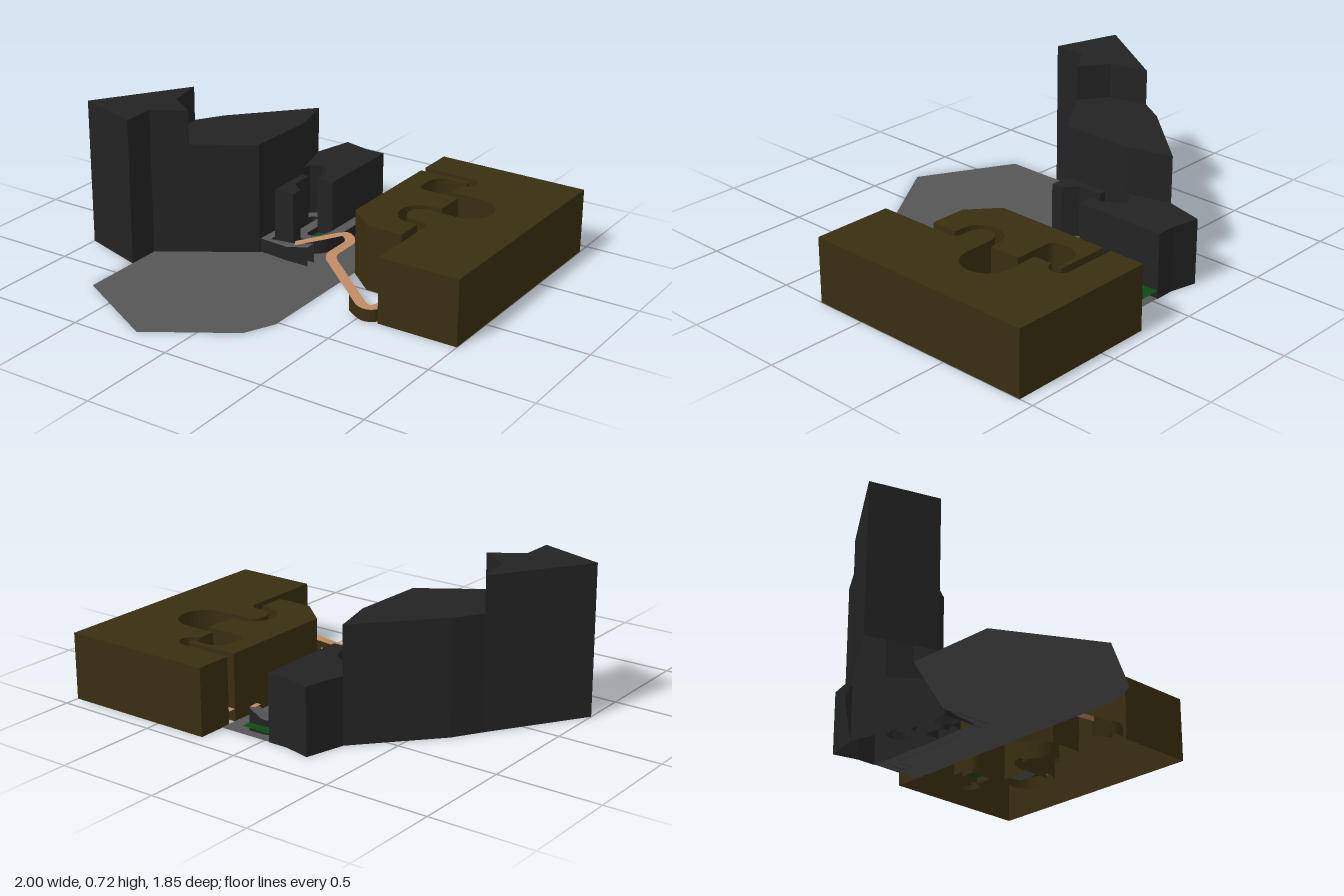
import * as THREE from 'three';

const mat = (name, color) => {
  const m = new THREE.MeshStandardMaterial({ color, side: THREE.DoubleSide });
  m.name = name;
  return m;
};

// Flat shape from [x, z] points
const shapeOf = (pts) => new THREE.Shape(pts.map(([x, z]) => new THREE.Vector2(x, -z)));

// Upright prism from an [x, z] outline, open underneath
function prism(pts, height) {
  const g = new THREE.ExtrudeGeometry(shapeOf(pts), { depth: height, bevelEnabled: false });
  g.rotateX(-Math.PI / 2);
  const p = g.attributes.position;
  const keep = [];
  for (let i = 0; i < p.count; i += 3) {
    const bottom = [0, 1, 2].every((k) => Math.abs(p.getY(i + k)) < 1e-5);
    if (!bottom) for (let k = 0; k < 3; k++) keep.push(p.getX(i + k), p.getY(i + k), p.getZ(i + k));
  }
  const out = new THREE.BufferGeometry();
  out.setAttribute('position', new THREE.Float32BufferAttribute(keep, 3));
  out.computeVertexNormals();
  return out;
}

// Horizontal plate at height y
function plate(pts, y) {
  return new THREE.ShapeGeometry(shapeOf(pts)).rotateX(-Math.PI / 2).translate(0, y, 0);
}

const rect = (x0, z0, x1, z1) => [[x0, z0], [x1, z0], [x1, z1], [x0, z1]];

// Centre line through [x, z, radius] corners, rounded off
function rounded(corners) {
  const v = corners.map((c) => new THREE.Vector2(c[0], c[1]));
  const out = [v[0]];
  for (let i = 1; i < v.length - 1; i++) {
    const r = corners[i][2];
    if (!r) { out.push(v[i]); continue; }
    const a = v[i - 1].clone().sub(v[i]).normalize();
    const b = v[i + 1].clone().sub(v[i]).normalize();
    const at = (d, s) => v[i].clone().addScaledVector(d, s);
    const curve = new THREE.CubicBezierCurve(at(a, r), at(a, r * 0.45), at(b, r * 0.45), at(b, r));
    for (const q of curve.getPoints(8)) {
      if (q.distanceTo(out[out.length - 1]) > 1e-4) out.push(q);
    }
  }
  out.push(v[v.length - 1]);
  return out;
}

// Both edges of a centre line
function edges(line, half) {
  const side = (s) => line.map((p, i) => {
    const d = line[Math.min(i + 1, line.length - 1)].clone().sub(line[Math.max(i - 1, 0)]).normalize();
    return [p.x - d.y * half * s, p.y + d.x * half * s];
  });
  return [side(1), side(-1)];
}

// Surface between two rows of [x, y, z] points
function strip(a, b) {
  const pos = [];
  for (let i = 0; i < a.length - 1; i++) {
    pos.push(...a[i], ...a[i + 1], ...b[i], ...b[i], ...a[i + 1], ...b[i + 1]);
  }
  const g = new THREE.BufferGeometry();
  g.setAttribute('position', new THREE.Float32BufferAttribute(pos, 3));
  g.computeVertexNormals();
  return g;
}

export function createModel() {
  const group = new THREE.Group();
  const rock = mat('dark rock', 0x232323);
  const earth = mat('brown earth', 0x392e10);
  const stone = mat('grey stone', 0x565656);
  const clay = mat('tan clay', 0xbf8a62);
  const grass = mat('green grass', 0x0f4a14);
  const add = (name, geometry, material) => {
    const m = new THREE.Mesh(geometry, material);
    m.name = name;
    group.add(m);
  };

  // Track ribbon with side walls down to the ground
  function track(name, line, half, height, top, wall) {
    const [a, b] = edges(line, half);
    const lift = (row) => row.map(([x, z], i) => [x, height(line[i].x, line[i].y), z]);
    const ground = (row) => row.map(([x, z]) => [x, 0, z]);
    add(name, strip(lift(b), lift(a)), top);
    if (wall) {
      for (const row of [a, b]) add(name + 'Bank', strip(lift(row), ground(row)), wall);
    }
  }

  // Ground
  add('ground', plate([[-0.68, 0.22], [-0.68, 0.67], [-0.22, 0.92], [0.17, 0.67], [0.24, 0.52],
    [0.24, -0.8], [-0.03, -0.8], [-0.03, -0.1], [-0.26, -0.06]], 0.002), stone);

  // Stepped cliffs
  add('tallCliff', prism([[-1, 0.28], [-0.68, 0.38], [-0.68, 0.22], [-0.53, 0.12],
    [-0.67, 0.03], [-0.71, -0.16]], 0.72), rock);
  add('middleCliff', prism([[-0.71, -0.16], [-0.67, 0.03], [-0.53, 0.12], [-0.26, -0.06],
    [-0.25, -0.42], [-0.31, -0.64], [-0.63, -0.29]], 0.55), rock);
  add('lowCliff', prism([[-0.31, -0.64], [-0.25, -0.42], [-0.24, -0.46], [-0.19, -0.49], [-0.14, -0.46],
    [-0.115, -0.4], [-0.115, -0.34], [-0.03, -0.34], [-0.03, -0.8], [-0.13, -0.8], [-0.26, -0.83]], 0.32), rock);
  add('rockPillar', prism([[-0.205, -0.34], [-0.168, -0.34], [-0.165, -0.22], [-0.1, -0.17],
    [-0.1, -0.11], [-0.205, -0.11]], 0.32), rock);

  // Grass patches
  add('grassCorner', plate(rect(-0.03, -0.8, 0.12, -0.7), 0.04), grass);
  add('grassBend', plate(rect(-0.22, -0.46, -0.15, -0.33), 0.04), grass);
  add('grassStrip', plate(rect(-0.13, -0.345, -0.02, -0.21), 0.04), grass);
  add('grassPit', plate(rect(0.36, -0.65, 0.5, -0.54), 0.03), grass);

  // Grey track through the rocks, rising at both ends
  const greyLine = rounded([[0.12, -0.725, 0], [0.06, -0.725, 0], [0, -0.725, 0.055], [0, -0.32, 0],
    [-0.03, -0.205, 0.05], [-0.14, -0.205, 0.05], [-0.14, -0.46, 0.047], [-0.235, -0.46, 0.047],
    [-0.24, -0.08, 0], [-0.1, -0.08, 0], [0.02, -0.08, 0]]);
  track('greyTrack', greyLine, 0.027, (x, z) => {
    if (z < -0.7) return 0.07 + 0.04 * THREE.MathUtils.smoothstep(x, 0.04, 0.12);
    if (z > -0.1) return 0.07 + 0.03 * THREE.MathUtils.smoothstep(x, -0.12, 0.02);
    return 0.07;
  }, stone, rock);
  add('trackEnd', strip([[0.12, 0.11, -0.75], [0.12, 0.11, -0.7]], [[0.12, 0, -0.75], [0.12, 0, -0.7]]), rock);
  add('takeoffLip', plate([[0.095, -0.74], [0.12, -0.752], [0.12, -0.7], [0.095, -0.7]], 0.114), clay);

  // Tan track: winding through the block, then arching over the ground
  const half = 0.021;
  const cut = rounded([[0.24, -0.73, 0], [0.53, -0.73, 0.032], [0.53, -0.665, 0.032], [0.36, -0.665, 0.06],
    [0.36, -0.53, 0.02], [0.76, -0.53, 0.1], [0.76, -0.33, 0.1], [0.43, -0.33, 0.087],
    [0.43, -0.155, 0.087], [0.58, -0.155, 0.02], [0.58, 0, 0]]);
  const bend = rounded([[0.58, 0, 0], [0.58, 0.29, 0.1], [0.44, 0.198, 0]]);
  const arch = rounded([[0.44, 0.198, 0], [0.35, 0.139, 0], [0.2, 0.04, 0.04], [0.2, -0.19, 0.07],
    [0.13, -0.19, 0.03], [0.03, -0.135, 0], [-0.07, -0.08, 0]]);
  track('sunkenTrack', cut, half, () => 0.06, clay, earth);
  track('bendTrack', bend, 0.025, (x) => 0.06 + Math.max(0, 0.5 - x) * 0.27, clay, earth);
  track('archTrack', arch, 0.025, (x) => (x > 0.2
    ? 0.14 - (x - 0.2) * 0.265
    : 0.15 - Math.abs(x - 0.14) * (x > 0.14 ? 0.16 : 0.29)), clay);

  // Brown block, split in two by the track channel
  const [inner, outer] = edges(cut, half);
  const a = inner.map(([x, z]) => [z > -0.52 && z < -0.34 ? Math.min(x, 0.56) : x, z]);
  const b = outer.map(([x, z]) => [z > -0.65 && z < -0.54 ? Math.max(x, 0.5) : x, z]);
  add('innerBlock', prism([...a, [0.38, 0], [0.24, -0.12]], 0.32), earth);
  add('outerBlock', prism([...b, [0.601, 0.26], [1, 0.26], [1, -0.93], [0.24, -0.93]], 0.32), earth);

  // Floor of the open bend in the block
  add('stonePit', plate(rect(0.56, -0.51, 0.66, -0.35), 0.02), stone);
  add('bendFloor', plate(rect(0.66, -0.51, 0.75, -0.35), 0.05), earth);

  return group;
}
